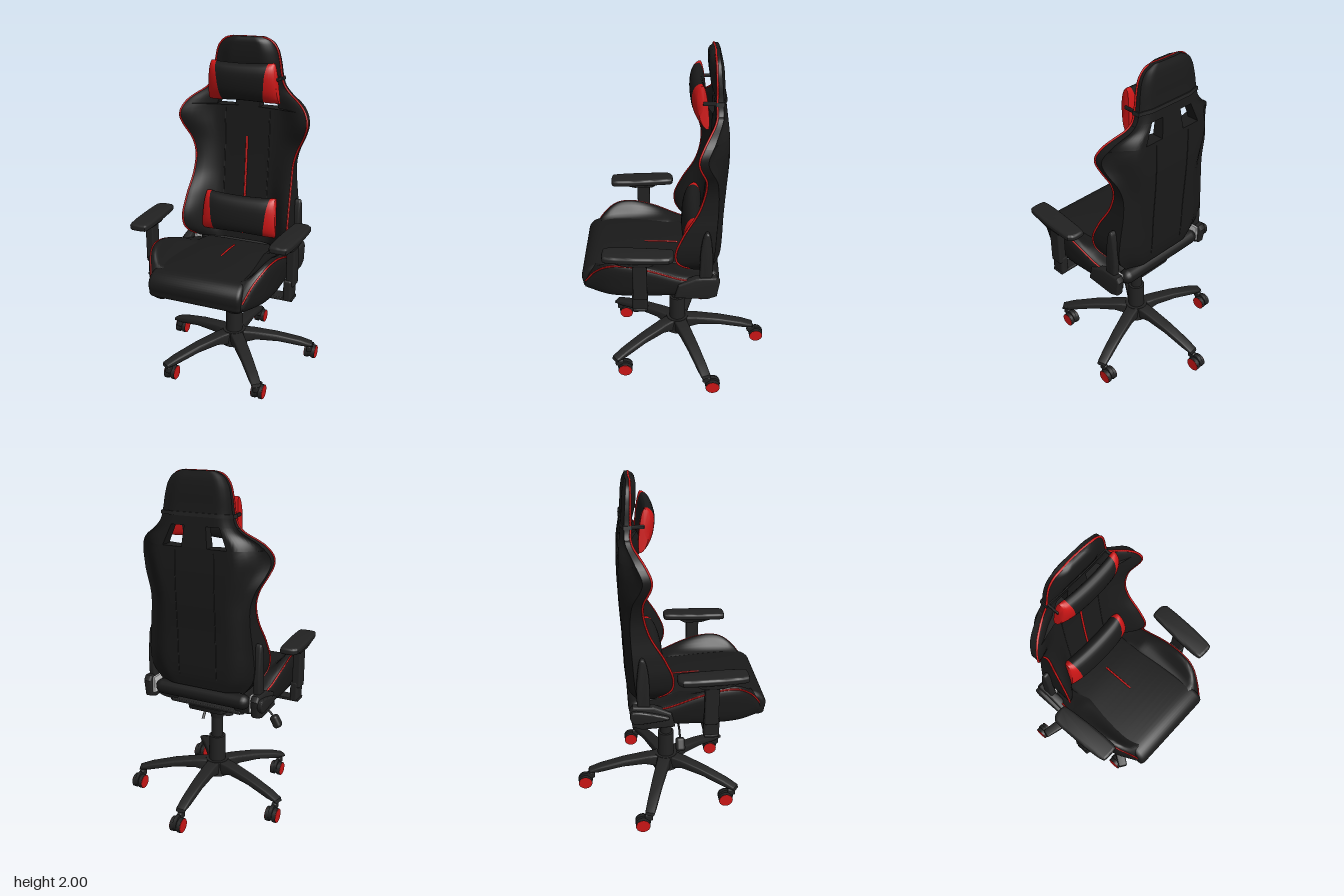
import * as THREE from 'three';
import { toCreasedNormals } from 'three/addons/utils/BufferGeometryUtils.js';
import { RoundedBoxGeometry } from 'three/addons/geometries/RoundedBoxGeometry.js';

const paint = (color) => new THREE.MeshStandardMaterial({ color });
const fabric = paint(0x1a1a1a), plastic = paint(0x222222), red = paint(0xcc1616), metal = paint(0xcccccc);
const V = (x, y, z) => new THREE.Vector3(x, y, z);
const lerp = THREE.MathUtils.lerp;
const steps = (n, a, b) => Array.from({ length: n + 1 }, (_, i) => lerp(a, b, i / n));

// Smooth function through [position, value] pairs
function spline(pairs) {
  const f = new THREE.CubicInterpolant(pairs.map(p => p[0]), pairs.map(p => p[1]), 1);
  return t => f.evaluate(t)[0];
}

// Capped skin over equal-length rings, turned to face outwards
function loft(rings, crease = 0.9) {
  const n = rings[0].length, pts = rings.flat(), idx = [];
  for (let r = 0; r < rings.length - 1; r++) for (let i = 0; i < n; i++) {
    const a = r * n + i, b = r * n + (i + 1) % n;
    idx.push(a, b, b + n, a, b + n, a + n);
  }
  [0, rings.length - 1].forEach((r, end) => {
    const c = pts.length;
    pts.push(rings[r].reduce((s, p) => s.add(p), V(0, 0, 0)).divideScalar(n));
    for (let i = 0; i < n; i++) {
      const a = r * n + i, b = r * n + (i + 1) % n;
      end ? idx.push(c, a, b) : idx.push(c, b, a);
    }
  });
  let volume = 0;
  for (let i = 0; i < idx.length; i += 3)
    volume += pts[idx[i]].dot(V(0, 0, 0).crossVectors(pts[idx[i + 1]], pts[idx[i + 2]]));
  if (volume < 0) idx.reverse();
  const g = new THREE.BufferGeometry().setFromPoints(pts);
  g.setIndex(idx);
  return toCreasedNormals(g, crease);
}

// Outline of [a, b] points extruded and centred along its depth
function extrude(points, width, bevel, smooth = false) {
  const v = points.map(p => new THREE.Vector2(...p));
  const outline = smooth ? new THREE.SplineCurve([...v, v[0]]).getPoints(48).slice(0, -1) : v;
  const g = new THREE.ExtrudeGeometry(new THREE.Shape(outline), {
    depth: width - 2 * bevel, bevelSize: bevel, bevelThickness: bevel, bevelOffset: -bevel, bevelSegments: 3 });
  return toCreasedNormals(g.translate(0, 0, bevel - width / 2), 0.6);
}
// Side profile of [z, y] points, extruded along x
const sideExtrude = (...args) => extrude(...args).rotateY(-Math.PI / 2);
const tube = (pts, r, n = 40) => new THREE.TubeGeometry(new THREE.CatmullRomCurve3(pts), n, r, 6);

// Backrest surfaces by height: half width, centre and edge depths
const halfW = spline([[0.78, 0.27], [0.85, 0.32], [0.92, 0.335], [1.05, 0.328], [1.2, 0.312], [1.3, 0.312], [1.38, 0.335],
  [1.46, 0.375], [1.53, 0.398], [1.58, 0.388], [1.635, 0.345], [1.69, 0.265], [1.73, 0.228], [1.78, 0.212], [1.88, 0.196],
  [1.94, 0.178], [1.98, 0.145], [2, 0.1]]);
const centreF = spline([[0.78, -0.13], [1.2, -0.18], [1.5, -0.2], [1.75, -0.2], [1.86, -0.172], [1.96, -0.165], [1.985, -0.168], [2, -0.18]]);
const edgeF = spline([[0.78, -0.09], [0.85, -0.005], [0.93, 0.015], [1.05, -0.03], [1.2, -0.115], [1.38, -0.15],
  [1.54, -0.105], [1.62, -0.14], [1.7, -0.198], [1.77, -0.2], [2, -0.195]]);
const centreB = spline([[0.78, -0.23], [0.85, -0.245], [1.1, -0.258], [1.4, -0.275], [1.6, -0.272], [1.8, -0.25], [1.96, -0.235], [2, -0.222]]);
const edgeB = spline([[0.78, -0.19], [1, -0.21], [1.38, -0.21], [1.54, -0.155], [1.63, -0.195], [1.7, -0.233], [1.77, -0.235], [2, -0.218]]);
const frontZ = (x, y) => lerp(centreF(y), edgeF(y), THREE.MathUtils.smoothstep(Math.abs(x) / halfW(y), 0.45, 1));
const backZ = (x, y) => lerp(centreB(y), edgeB(y), THREE.MathUtils.smoothstep(Math.abs(x) / halfW(y), 0.6, 1));

// Piece of the backrest between two heights and two side limits
function backPiece(y0, y1, xa, xb, rows, grow = 0) {
  return loft(steps(rows, y0, y1).map(y => {
    const xs = steps(24, xa(y) - grow, xb(y) + grow);
    return [...xs.map(x => V(x, y, frontZ(x, y) + grow)), ...xs.reverse().map(x => V(x, y, backZ(x, y) - grow))];
  }));
}

// Slice of a cushion between x0 and x1; the seams at the cut lean outwards at the top
function pillowSlice(x0, x1, { w, h, front, back, y, z, tilt, cut }) {
  const lean = spline([[0, 0], [cut / w, 0.016], [1, -0.012]]);
  return loft(steps(14, x0, x1).map(x => {
    const t = Math.abs(x) / w, k = Math.sqrt(1.02 - 0.6 * t ** 6), hh = h * (0.92 + 0.1 * t ** 2) * (1 - 0.04 * t ** 12);
    return steps(27, 0, Math.PI * 2 * 27 / 28).map(a => {
      const s = Math.sin(a), c = Math.cos(a);
      const dy = hh * Math.sign(s) * Math.abs(s) ** 0.8;
      return V(x + Math.sign(x) * lean(t) * s, y + dy, z - 0.015 * t * t + (c > 0 ? front : back) * k * c + tilt * dy);
    });
  }));
}

export function createModel() {
  const root = new THREE.Group();
  const add = (name, geo, mat, x = 0, y = 0, z = 0, parent = root) => {
    const m = new THREE.Mesh(geo, mat);
    m.name = name;
    m.position.set(x, y, z);
    parent.add(m);
    return m;
  };
  const cyl = (r0, r1, h, n = 28) => new THREE.CylinderGeometry(r0, r1, h, n);
  const box = (x, y, z, r = 0.01) => new RoundedBoxGeometry(x, y, z, 3, r);

  // Backrest with two openings below the headrest
  const right = y => -halfW(y), left = halfW;
  const holeIn = spline([[1.6, 0.078], [1.715, 0.065]]), holeOut = spline([[1.6, 0.195], [1.715, 0.145]]);
  add('backrest', backPiece(0.78, 1.6, right, left, 40), fabric);
  add('backrestCentrePost', backPiece(1.6, 1.715, y => -holeIn(y), holeIn, 8), fabric);
  add('backrestLeftPost', backPiece(1.6, 1.715, holeOut, left, 10), fabric);
  add('backrestRightPost', backPiece(1.6, 1.715, right, y => -holeOut(y), 10), fabric);
  add('headrest', backPiece(1.715, 2, right, left, 28), fabric);
  add('headrestStrap', backPiece(1.765, 1.785, right, left, 2, 0.006), plastic);

  // Piping around the backrest, centre stripe and stitched channels
  const rim = s => [...steps(36, 0.8, 1.985).map(y => V(s * halfW(y), y, edgeF(y) - 0.002)), V(s * 0.09, 1.996, -0.197), V(s * 0.04, 1.997, -0.2)];
  add('backrestPiping', tube([...rim(1), ...rim(-1).reverse()], 0.006, 220), red);
  add('backrestStripe', tube(steps(8, 0.82, 1.42).map(y => V(0, y, frontZ(0, y))), 0.007), red);
  for (const s of [-1, 1]) {
    add('frontStitch', tube(steps(8, 0.9, 1.58).map(y => V(s * 0.14, y, frontZ(0.14, y))), 0.003), plastic);
    add('rearStitch', tube(steps(8, 0.85, 1.58).map(y => V(s * 0.12, y, backZ(0.12, y))), 0.003), plastic);
    add('pillowStrap', box(0.012, 0.02, 0.08, 0.004), plastic, s * 0.205, 1.775, -0.17);
  }

  // Head and lumbar pillows with red ends
  const head = { w: 0.205, h: 0.117, front: 0.06, back: 0.022, y: 1.752, z: -0.128, tilt: 0.12, cut: 0.142 };
  const lumbar = { w: 0.232, h: 0.122, front: 0.055, back: 0.06, y: 0.963, z: -0.08, tilt: -0.08, cut: 0.175 };
  for (const [name, p] of [['headPillow', head], ['lumbarPillow', lumbar]]) {
    add(name, pillowSlice(-p.cut, p.cut, p), fabric);
    for (const s of [-1, 1]) add(name + 'End', pillowSlice(s * p.cut, s * p.w, p), red);
  }

  // Seat cushion, narrowing to the rear
  const cushion = sideExtrude([[-0.15, 0.66], [-0.15, 0.76], [0, 0.79], [0.2, 0.8], [0.4, 0.803], [0.5, 0.795],
    [0.553, 0.75], [0.555, 0.69], [0.51, 0.645], [0.2, 0.645]], 0.555, 0.025, true);
  const cp = cushion.attributes.position;
  for (let i = 0; i < cp.count; i++) cp.setX(i, cp.getX(i) * lerp(0.82, 1, (cp.getZ(i) + 0.15) / 0.7));
  add('seatCushion', cushion, fabric, -0.01);
  add('seatStripe', tube([V(0, 0.79, 0), V(0, 0.797, 0.1), V(0, 0.798, 0.2)], 0.006), red);

  // Raised seat bolsters with piping
  const outer = spline([[-0.15, 0.335], [0, 0.355], [0.25, 0.365], [0.4, 0.345], [0.5, 0.295], [0.54, 0.27]]);
  const crest = spline([[-0.15, 0.74], [0, 0.785], [0.15, 0.845], [0.3, 0.88], [0.4, 0.865], [0.48, 0.8], [0.54, 0.71]]);
  for (const s of [-1, 1]) {
    add('seatBolster', loft(steps(30, -0.15, 0.54).map(z => {
      const o = outer(z), c = crest(z), m = (c + 0.65) / 2;
      const pts = [[0.19, 0.65], [o - 0.02, 0.65], [o + 0.006, m], [o, c - 0.015], [o - 0.025, c],
        [lerp(0.22, o, 0.35), Math.min(c, 0.81)], [0.2, Math.min(c, 0.78)]];
      return new THREE.CatmullRomCurve3(pts.map(p => V(s * p[0], p[1], z)), true).getPoints(32).slice(0, -1);
    })), fabric);
    add('seatPiping', tube(steps(24, -0.08, 0.535).map(z => V(s * (outer(z) - 0.002), crest(z) - 0.01, z)), 0.005, 60), red);

    // Hinge cover and side bracket joining seat and back
    add('hingeCover', sideExtrude([[-0.12, 0.76], [-0.125, 0.95], [-0.14, 1.05], [-0.16, 1.08], [-0.18, 1.05],
      [-0.195, 0.9], [-0.19, 0.77], [-0.16, 0.73]], 0.04, 0.012, true), plastic, s * 0.343);
    add('sideBracket', sideExtrude([[0.02, 0.65], [0, 0.74], [-0.1, 0.785], [-0.22, 0.79], [-0.238, 0.76],
      [-0.222, 0.66], [-0.17, 0.64]], 0.05, 0.012), plastic, s * 0.35);
    add('hingePlate', box(0.015, 0.1, 0.09, 0.004), metal, s * 0.318, 0.73, -0.17);
    add('seatRail', box(0.03, 0.025, 0.5), plastic, s * 0.23, 0.635, 0.1);

    // Armrest with a rounded pad bulging on its inner side
    const arm = new THREE.Group();
    arm.name = 'armrest';
    arm.position.x = s * 0.43;
    root.add(arm);
    const pad = extrude([[0.06, 0.05], [0.062, 0.12], [0.056, 0.28], [0.042, 0.395], [0.02, 0.415], [-0.04, 0.415],
      [-0.066, 0.395], [-0.066, 0.27], [-0.056, 0.14], [-0.045, 0.045], [-0.03, 0.025], [0.03, 0.025]].map(([x, z]) => [s * x, z]), 0.04, 0.014, true);
    add('armPad', pad.rotateX(Math.PI / 2), plastic, 0, 0.988, 0, arm);
    add('armPadSupport', sideExtrude([[0.1, 0.975], [0.37, 0.975], [0.33, 0.955], [0.27, 0.94], [0.16, 0.94]], 0.07, 0.006), plastic, 0.005 * s, 0, 0, arm);
    add('armPost', box(0.05, 0.26, 0.08), plastic, s * 0.008, 0.84, 0.213, arm);
    add('armSleeve', box(0.05, 0.13, 0.09, 0.015), plastic, s * -0.004, 0.685, 0.216, arm);
    add('armBracket', box(0.25, 0.018, 0.08, 0.005), plastic, s * -0.1, 0.63, 0.216, arm);
  }

  // Rear roll covering the hinge bar, and recline handle
  add('rearRoll', new THREE.CapsuleGeometry(0.045, 0.52, 6, 20).rotateZ(Math.PI / 2), fabric, 0, 0.73, -0.195);
  add('reclineHandle', sideExtrude([[-0.02, 0.71], [-0.03, 0.73], [-0.2, 0.77], [-0.235, 0.74], [-0.22, 0.7], [-0.18, 0.69]], 0.03, 0.008, true), plastic, -0.382);

  // Tilt mechanism and levers
  add('seatPlate', box(0.46, 0.02, 0.36, 0.006), plastic, 0, 0.635, 0.02);
  add('tiltMechanism', sideExtrude([[0.18, 0.63], [0.15, 0.605], [0.06, 0.575], [-0.06, 0.575], [-0.16, 0.6], [-0.17, 0.63]], 0.22, 0.01), plastic);
  add('heightLever', tube([V(-0.05, 0.6, 0.05), V(-0.2, 0.595, 0.05), V(-0.32, 0.588, 0.05), V(-0.35, 0.56, 0.05)], 0.006), plastic);
  add('leverPaddle', box(0.05, 0.08, 0.055, 0.018), plastic, -0.37, 0.53, 0.05).rotation.z = -0.5;
  add('tensionKnob', cyl(0.036, 0.042, 0.12), plastic, 0, 0.525, 0.14).rotation.x = 0.12;
  add('tiltLever', tube([V(0.05, 0.6, 0), V(0.06, 0.55, -0.04), V(0.06, 0.505, -0.075)], 0.009), plastic);

  // Gas column and hub
  add('columnTop', cyl(0.055, 0.038, 0.08), plastic, 0, 0.545);
  add('columnPiston', cyl(0.036, 0.036, 0.16), plastic, 0, 0.44);
  add('columnSleeve', cyl(0.05, 0.052, 0.21), plastic, 0, 0.275);
  add('hub', cyl(0.07, 0.085, 0.09), plastic, 0, 0.175);

  // Five-legged base with twin-wheel casters, all trailing to the rear
  for (let i = 0; i < 5; i++) {
    const angle = Math.PI + 0.033 + i * Math.PI * 2 / 5;
    const leg = sideExtrude([[0.03, 0.22], [0.12, 0.215], [0.27, 0.193], [0.42, 0.158], [0.495, 0.13], [0.5, 0.11],
      [0.43, 0.115], [0.28, 0.148], [0.14, 0.158], [0.03, 0.13]], 0.085, 0.012);
    const lp = leg.attributes.position;
    for (let k = 0; k < lp.count; k++) lp.setX(k, lp.getX(k) * lerp(1, 0.68, lp.getZ(k) / 0.5));
    add('baseLeg', leg, plastic).rotation.y = angle;

    const caster = new THREE.Group();
    caster.name = 'caster';
    caster.position.set(Math.sin(angle) * 0.475, 0, Math.cos(angle) * 0.475);
    root.add(caster);
    add('casterStem', cyl(0.014, 0.014, 0.06, 14), plastic, 0, 0.1, 0, caster);
    add('casterHood', cyl(0.046, 0.046, 0.022).rotateZ(Math.PI / 2), plastic, 0, 0.055, -0.045, caster);
    add('casterNeck', box(0.03, 0.045, 0.05), plastic, 0, 0.085, -0.01, caster);
    for (const s of [-1, 1]) {
      add('wheel', cyl(0.043, 0.043, 0.022).rotateZ(Math.PI / 2), plastic, s * 0.022, 0.043, -0.046, caster);
      add('wheelDisc', cyl(0.041, 0.041, 0.004).rotateZ(Math.PI / 2), red, s * 0.033, 0.043, -0.046, caster);
    }
  }
  return root;
}
